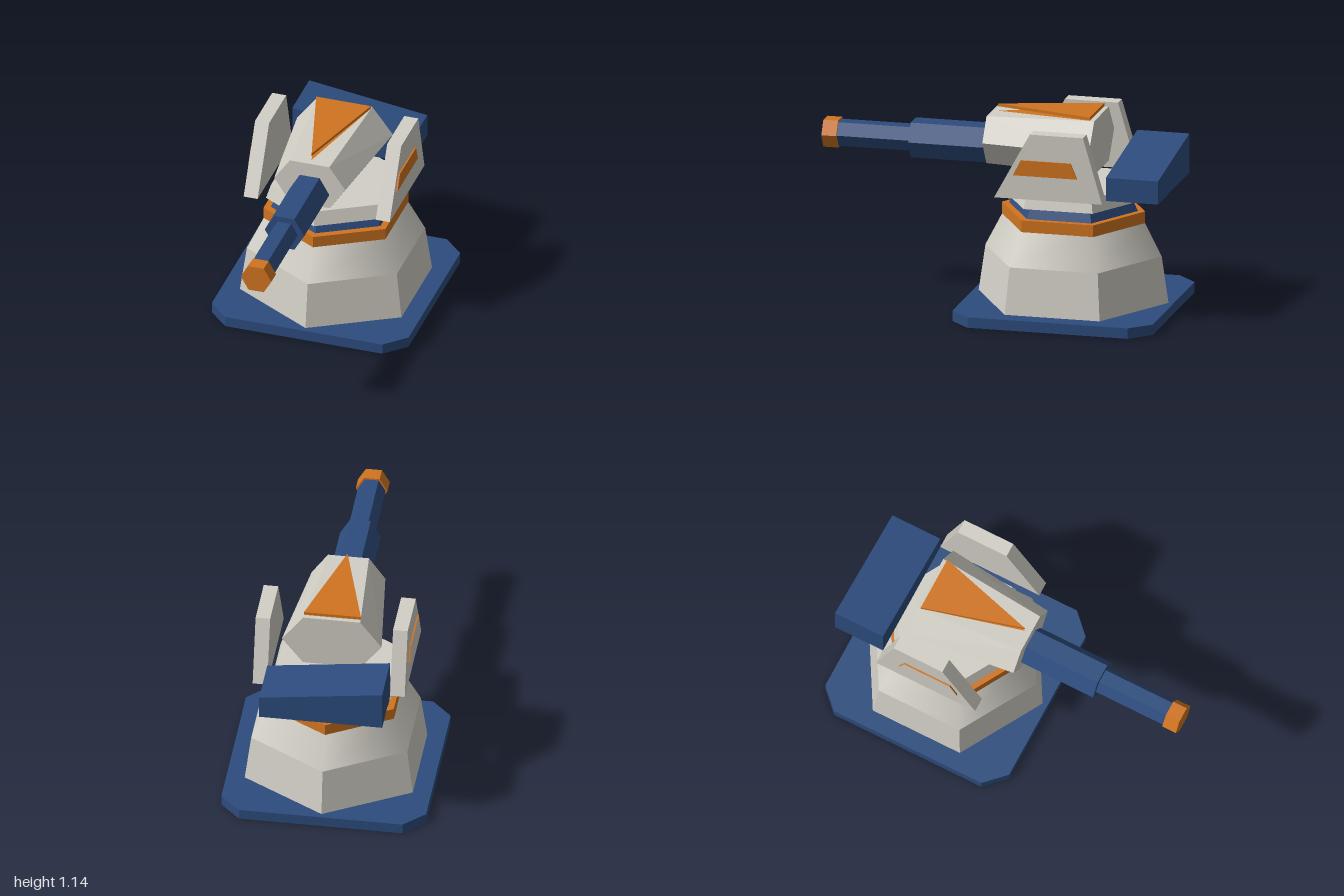
import * as THREE from 'three';
import { ConvexGeometry } from 'three/addons/geometries/ConvexGeometry.js';

const CZ = -0.425; // z of the pedestal axis
const BARREL_Y = 0.912;

export function createModel() {
  const group = new THREE.Group();
  const mat = (name, color) => {
    const m = new THREE.MeshStandardMaterial({ color });
    m.name = name;
    return m;
  };
  const grey = mat('warmGrey', 0xd2cfc6);
  const blue = mat('navyBlue', 0x2d4c7e);
  const orange = mat('orange', 0xd07420);

  const add = (name, geometry, material) => {
    const mesh = new THREE.Mesh(geometry, material);
    mesh.name = name;
    group.add(mesh);
    return mesh;
  };
  const flat = (g) => {
    const f = g.toNonIndexed();
    f.computeVertexNormals();
    return f;
  };
  const prism = (points, depth) => new THREE.ExtrudeGeometry(
    new THREE.Shape(points.map(([x, y]) => new THREE.Vector2(x, y))),
    { depth, bevelEnabled: false });

  // Six-sided pedestal tier with a corner facing forward
  const tier = (name, y0, y1, r0, r1, material, smooth = false) => {
    const g = new THREE.CylinderGeometry(r1, r0, y1 - y0, 6);
    add(name, smooth ? g : flat(g), material).position.set(0, (y0 + y1) / 2, CZ);
  };

  // Six-sided gun section along z, flat side up
  const gun = (name, z0, z1, r, material) => {
    const g = new THREE.CylinderGeometry(r, r, z1 - z0, 6)
      .rotateY(Math.PI / 6).rotateX(Math.PI / 2);
    add(name, flat(g), material).position.set(0, BARREL_Y, (z0 + z1) / 2);
  };

  // Base plate with cut corners
  const a = 0.575, b = 0.46;
  add('basePlate', prism([[a, -b], [a, b], [b, a], [-b, a], [-a, b], [-a, -b], [-b, -a], [b, -a]], 0.06)
    .rotateX(-Math.PI / 2), blue).position.z = CZ;

  // Pedestal
  tier('lowerBody', 0.06, 0.325, 0.545, 0.506, grey);
  tier('upperBody', 0.325, 0.51, 0.506, 0.41, grey, true);
  tier('ring', 0.51, 0.577, 0.411, 0.411, orange);
  tier('swivel', 0.577, 0.632, 0.369, 0.344, blue);
  tier('turntable', 0.64, 0.72, 0.397, 0.37, grey);

  // Side brackets, each with a thin inset panel
  const side = (points, depth) =>
    prism(points.map(([z, y]) => [-z, y]), depth).rotateY(Math.PI / 2);
  for (const s of [1, -1]) {
    const label = s > 0 ? 'left' : 'right';
    add(label + 'Bracket', side([[-0.08, 0.72], [-0.7, 0.72], [-0.59, 1.095], [-0.285, 1.095]], 0.082), grey)
      .position.x = s > 0 ? 0.345 : -0.427;
    add(label + 'Panel', side([[-0.19, 0.857], [-0.557, 0.857], [-0.52, 0.945], [-0.235, 0.945]], 0.0095),
      s > 0 ? orange : [grey, orange]).position.x = s > 0 ? 0.427 : -0.4365;
  }

  // Rear counterweight with a sloping top
  add('counterweight', prism([[-0.345, 0.72], [0.345, 0.72], [0.345, 0.853], [-0.345, 0.946]], 0.3), blue)
    .position.z = -1;

  // Gun housing: a hexagon widening toward the back
  const section = (z, mid, top, bottom, yTop, yBottom) => [1, -1].flatMap((s) => [
    new THREE.Vector3(s * top, yTop, z),
    new THREE.Vector3(s * mid, 0.963, z),
    new THREE.Vector3(s * bottom, yBottom, z),
  ]);
  add('gunHousing', new ConvexGeometry([
    ...section(0.045, 0.207, 0.115, 0.118, 1.095, 0.826),
    ...section(-0.585, 0.28, 0.16, 0.162, 1.121, 0.812),
  ]), grey);

  // Raised arrow plate and the painted arrow under it
  add('arrowPlate', prism([[-0.16, 0.56], [0, -0.01], [0.16, 0.56]], 0.016).rotateX(-Math.PI / 2), orange)
    .position.y = 1.125;
  const mark = new THREE.BufferGeometry();
  mark.setAttribute('position', new THREE.Float32BufferAttribute(
    [-0.158, 1.122, -0.56, 0, 1.099, 0.01, 0.158, 1.122, -0.56], 3));
  mark.computeVertexNormals();
  add('arrowMark', mark, orange);

  // Barrel
  gun('barrelSleeve', 0.04, 0.495, 0.115, blue);
  gun('barrel', 0.495, 0.915, 0.078, blue);
  gun('muzzle', 0.915, 1, 0.089, orange);

  return group;
}
